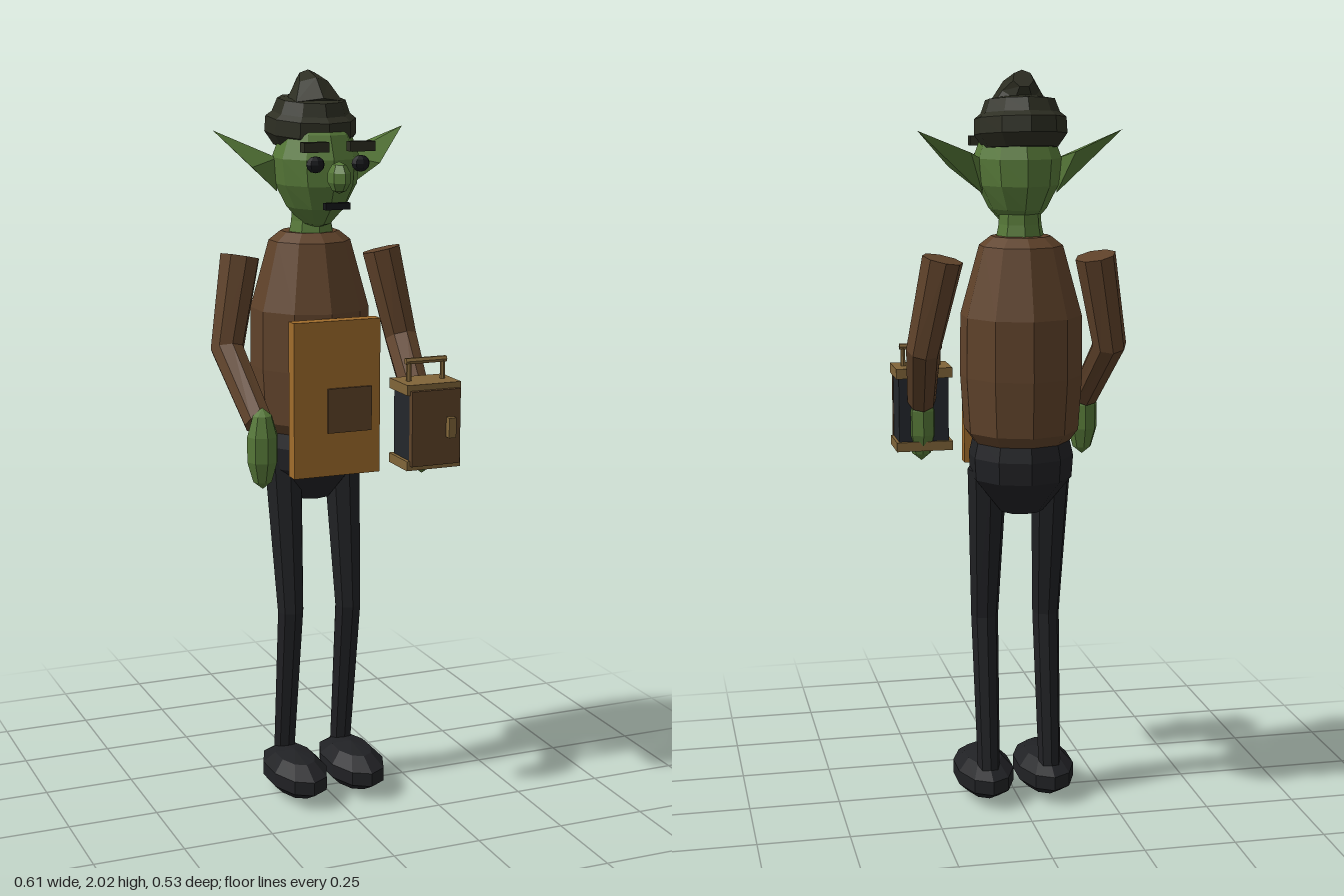
import * as THREE from 'three';
import { ConvexGeometry } from 'three/addons/geometries/ConvexGeometry.js';

const mat = (name, color) => {
  const m = new THREE.MeshStandardMaterial({ color });
  m.name = name;
  return m;
};
const V = (x, y, z) => new THREE.Vector3(x, y, z);

export function createModel() {
  const root = new THREE.Group();
  root.name = 'figure';
  const skin = mat('green skin', 0x567838);
  const shirt = mat('brown shirt', 0x5f422a);
  const trousers = mat('black cloth', 0x202124);
  const wool = mat('dark olive wool', 0x2d2e22);
  const canvas = mat('ochre canvas', 0xa06c2c);
  const leather = mat('leather brown', 0x5e4329);
  const brass = mat('dull brass', 0x806539);
  const glass = mat('dark glass', 0x23272c);
  const black = mat('eye black', 0x16171a);

  // Faceted mesh: every triangle gets its own normal
  function add(name, geo, material, pos = [0, 0, 0], parent = root) {
    const g = geo.index ? geo.toNonIndexed() : geo;
    g.computeVertexNormals();
    const mesh = new THREE.Mesh(g, material);
    mesh.name = name;
    mesh.position.set(...pos);
    parent.add(mesh);
    return mesh;
  }
  const ball = (rx, ry, rz, w = 10, h = 6) =>
    new THREE.SphereGeometry(1, w, h).rotateY(Math.PI / 2).scale(rx, ry, rz);
  const lathe = (profile, sides = 10) =>
    new THREE.LatheGeometry(profile.map(p => new THREE.Vector2(...p)), sides);
  // Box given by its lower and upper corners
  function box(name, a, b, material) {
    return add(name, new THREE.BoxGeometry(b[0] - a[0], b[1] - a[1], b[2] - a[2]), material,
      a.map((v, i) => (v + b[i]) / 2));
  }
  // Tapered limb through a list of points, from the top joint down
  function limb(pts, radii, sides = 8) {
    const n = pts.length - 1;
    const geo = new THREE.CylinderGeometry(1, 1, 1, sides, n);
    const turns = pts.map((p, i) => new THREE.Quaternion().setFromUnitVectors(V(0, 1, 0),
      pts[Math.max(i - 1, 0)].clone().sub(pts[Math.min(i + 1, n)]).normalize()));
    const pos = geo.attributes.position;
    for (let k = 0; k < pos.count; k++) {
      const i = Math.round((0.5 - pos.getY(k)) * n);
      const v = V(pos.getX(k) * radii[i], 0, pos.getZ(k) * radii[i])
        .applyQuaternion(turns[i]).add(pts[i]);
      pos.setXYZ(k, v.x, v.y, v.z);
    }
    return geo;
  }

  // Body
  add('torso', lathe([[0, 1.03], [0.125, 1.03], [0.155, 1.07], [0.165, 1.22], [0.163, 1.38],
    [0.112, 1.565], [0.08, 1.59], [0, 1.59]]), shirt, [0, 0, -0.1]);
  add('hips', lathe([[0, 0.838], [0.06, 0.845], [0.138, 0.94], [0.142, 1.0], [0.128, 1.06],
    [0, 1.06]]), trousers, [0, 0, -0.1]);
  add('neck', lathe([[0, 1.56], [0.068, 1.57], [0.058, 1.62], [0.055, 1.68], [0, 1.68]], 8),
    skin, [0, 0, -0.088]);

  // Head, narrowing towards the chin
  const head = ball(0.12, 0.157, 0.134, 10, 7);
  const hp = head.attributes.position;
  for (let k = 0; k < hp.count; k++) {
    const low = Math.max(0, -hp.getY(k) / 0.157);
    hp.setX(k, hp.getX(k) * (1 - 0.3 * low));
  }
  add('head', head, skin, [0, 1.757, -0.053]);
  add('nose', ball(0.029, 0.042, 0.044, 6, 5), skin, [0, 1.75, 0.112]);
  box('mouth', [-0.035, 1.665, 0.085], [0.035, 1.683, 0.105], black);

  // Woolly hat with a floppy tip
  const hat = new THREE.Group();
  hat.name = 'hat';
  hat.position.set(0, 1.865, -0.092);
  hat.rotation.x = 0.09;
  root.add(hat);
  add('hatBand', lathe([[0, -0.045], [0.105, -0.045], [0.132, -0.01], [0.13, 0.032],
    [0.112, 0.045], [0.098, 0.08], [0, 0.095]]).scale(0.93, 1, 1.03), wool, [0, 0, 0], hat);
  add('hatTip', limb([V(0, 0.13, -0.045), V(0, 0.108, -0.01), V(0, 0.06, 0.01)],
    [0.028, 0.052, 0.085], 7), wool, [0, 0, 0], hat);

  // Mirrored parts
  for (const s of [-1, 1]) {
    const side = s > 0 ? 'left' : 'right';
    add(side + 'Ear', new ConvexGeometry([V(s * 0.1, 1.7, -0.085), V(s * 0.275, 1.866, -0.1),
      V(s * 0.185, 1.77, -0.045), V(s * 0.14, 1.81, -0.135), V(s * 0.1, 1.79, -0.08)]), skin);
    add(side + 'Eye', ball(0.026, 0.022, 0.02, 8, 6), black, [s * 0.064, 1.785, 0.105]);
    const inner = s * 0.03, outer = s * 0.1;
    box(side + 'Eyebrow', [Math.min(inner, outer), 1.817, 0.088],
      [Math.max(inner, outer), 1.843, 0.118], wool);

    add(side + 'Arm', limb([V(s * 0.208, 1.53, -0.085), V(s * 0.257, 1.285, -0.055),
      V(s * 0.234, 1.115, 0.125)], [0.056, 0.047, 0.04]), shirt);
    add(side + 'Hand', ball(0.045, 0.11, 0.043, 8, 5), skin, [s * 0.232, 1.05, 0.146]);
    add(side + 'Leg', limb([V(s * 0.088, 0.96, -0.08), V(s * 0.087, 0.53, -0.028),
      V(s * 0.087, 0.08, -0.085)], [0.055, 0.038, 0.031]), trousers);
    add(side + 'Shoe', ball(0.086, 0.062, 0.16, 10, 5), trousers, [s * 0.087, 0.062, 0]);
  }

  // Apron with its pocket
  box('apron', [-0.126, 0.945, 0.066], [0.124, 1.37, 0.105], canvas);
  box('apronPocket', [-0.03, 1.065, 0.105], [0.097, 1.187, 0.112], leather);

  // Lantern held in the left hand
  box('lanternBase', [0.148, 0.972, 0.114], [0.306, 0.998, 0.232], brass);
  box('lanternRoof', [0.148, 1.178, 0.114], [0.306, 1.206, 0.232], brass);
  box('lanternGlass', [0.158, 0.998, 0.124], [0.298, 1.178, 0.226], glass);
  box('lanternDoor', [0.157, 0.985, 0.226], [0.299, 1.19, 0.245], leather);
  box('lanternLatch', [0.257, 1.06, 0.245], [0.278, 1.115, 0.264], brass);
  for (const x of [0.178, 0.278]) {
    add('lanternHandlePost', new THREE.CylinderGeometry(0.007, 0.007, 0.06, 6), brass,
      [x, 1.233, 0.173]);
  }
  add('lanternHandle', new THREE.CylinderGeometry(0.009, 0.009, 0.12, 6).rotateZ(Math.PI / 2),
    brass, [0.228, 1.26, 0.173]);

  return root;
}
